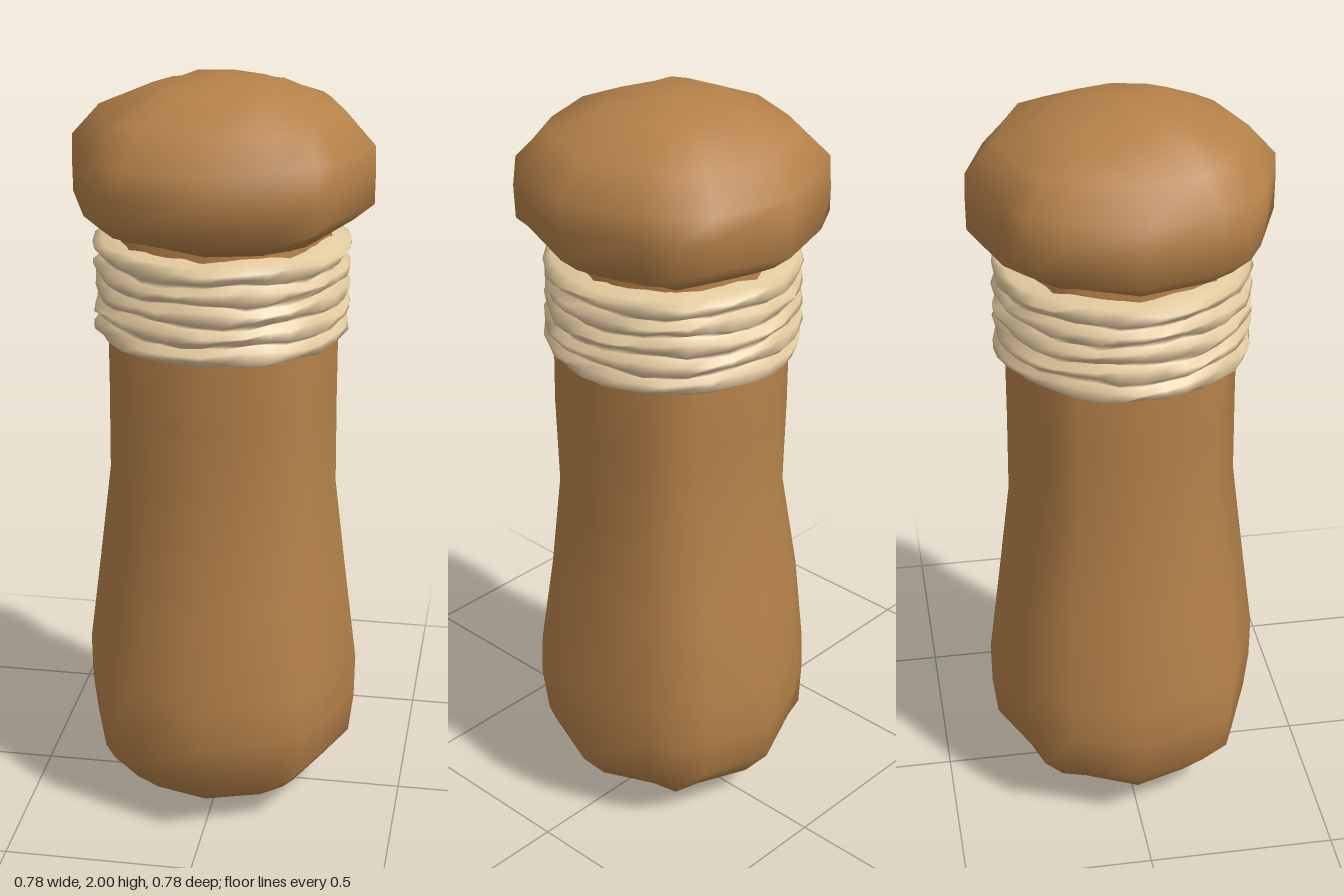
import * as THREE from 'three';
import { mergeVertices } from 'three/addons/utils/BufferGeometryUtils.js';

// Small seeded generator for the hand-carved unevenness
function seeded(seed) {
  return () => {
    seed = (seed * 1664525 + 1013904223) % 4294967296;
    return seed / 4294967296;
  };
}

// Skin over [radius, height] rings, from bottom to top; shape(ring, side) gives [radius factor, lift]
function loft(profile, angles, shape) {
  const n = angles.length, positions = [], index = [];
  profile.forEach(([r, y], j) => angles.forEach((a, i) => {
    const [f, lift] = r === 0 ? [1, 0] : shape(j, i);
    positions.push(Math.cos(a) * r * f, y + lift, Math.sin(a) * r * f);
  }));
  for (let j = 0; j < profile.length - 1; j++) {
    for (let i = 0; i < n; i++) {
      const a = j * n + i, b = j * n + (i + 1) % n;
      index.push(a, a + n, b, b, a + n, b + n);
    }
  }
  let geometry = new THREE.BufferGeometry();
  geometry.setAttribute('position', new THREE.Float32BufferAttribute(positions, 3));
  geometry.setIndex(index);
  geometry = mergeVertices(geometry);
  geometry.computeVertexNormals();
  return geometry;
}

export function createModel() {
  const group = new THREE.Group();
  const wood = new THREE.MeshStandardMaterial({ color: 0xb58149 });
  wood.name = 'wood';
  const rope = new THREE.MeshStandardMaterial({ color: 0xe2c99f });
  rope.name = 'rope';

  const add = (name, geometry, material) => {
    const mesh = new THREE.Mesh(geometry, material);
    mesh.name = name;
    group.add(mesh);
  };

  // Uneven sixteen-sided section: long flats beside each axis, short chamfers on the diagonals
  const angles = [], reach = [1, 0.98, 1.02, 0.98];
  for (let q = 0; q < 4; q++) {
    for (const d of [0, 31.5, 45, 58.5]) angles.push(THREE.MathUtils.degToRad(q * 90 + d));
  }
  const carved = (seed, dent) => {
    const random = seeded(seed);
    return (j, i) => {
      const k = i % 4;
      return [reach[k] - (k ? dent * random() : 0), k ? (random() - 0.5) * 0.02 : 0];
    };
  };

  // Body: rounded foot, swelling base and straight neck
  add('body', loft([
    [0, 0], [0.15, 0.03], [0.28, 0.08], [0.355, 0.17], [0.368, 0.28], [0.37, 0.4],
    [0.338, 0.65], [0.305, 0.92], [0.303, 1.15], [0.303, 1.4], [0.28, 1.62],
  ], angles, carved(7, 0.06)), wood);

  // Head: mushroom-shaped knob
  add('head', loft([
    [0, 1.59], [0.27, 1.6], [0.335, 1.637], [0.388, 1.68], [0.389, 1.755], [0.387, 1.83],
    [0.315, 1.91], [0.175, 1.97], [0, 2],
  ], angles, carved(21, 0.05)), wood);

  // Rope binding: stacked coils that wander up and down round the neck
  const coils = 5, bottom = 1.33, pitch = 0.052;
  const ropeProfile = [[0.27, bottom]];
  for (let c = 0; c < coils; c++) {
    const y = bottom + c * pitch;
    ropeProfile.push([0.312, y + 0.003], [0.329, y + 0.017], [0.329, y + 0.035], [0.312, y + 0.049]);
  }
  ropeProfile.push([0.27, bottom + coils * pitch + 0.004]);
  const ropeAngles = Array.from({ length: 36 }, (_, i) => i / 36 * Math.PI * 2);
  const random = seeded(5);
  const wander = (j, i) => {
    const edge = j < 2 || j > ropeProfile.length - 3;
    const lift = edge ? 0 : 0.006 * Math.sin(ropeAngles[i] * 5 + Math.floor((j + 1) / 4) * 1.9);
    return [1 + (random() - 0.6) * 0.035, lift + (random() - 0.5) * 0.007];
  };
  add('ropeBinding', loft(ropeProfile, ropeAngles, wander), rope);

  return group;
}
